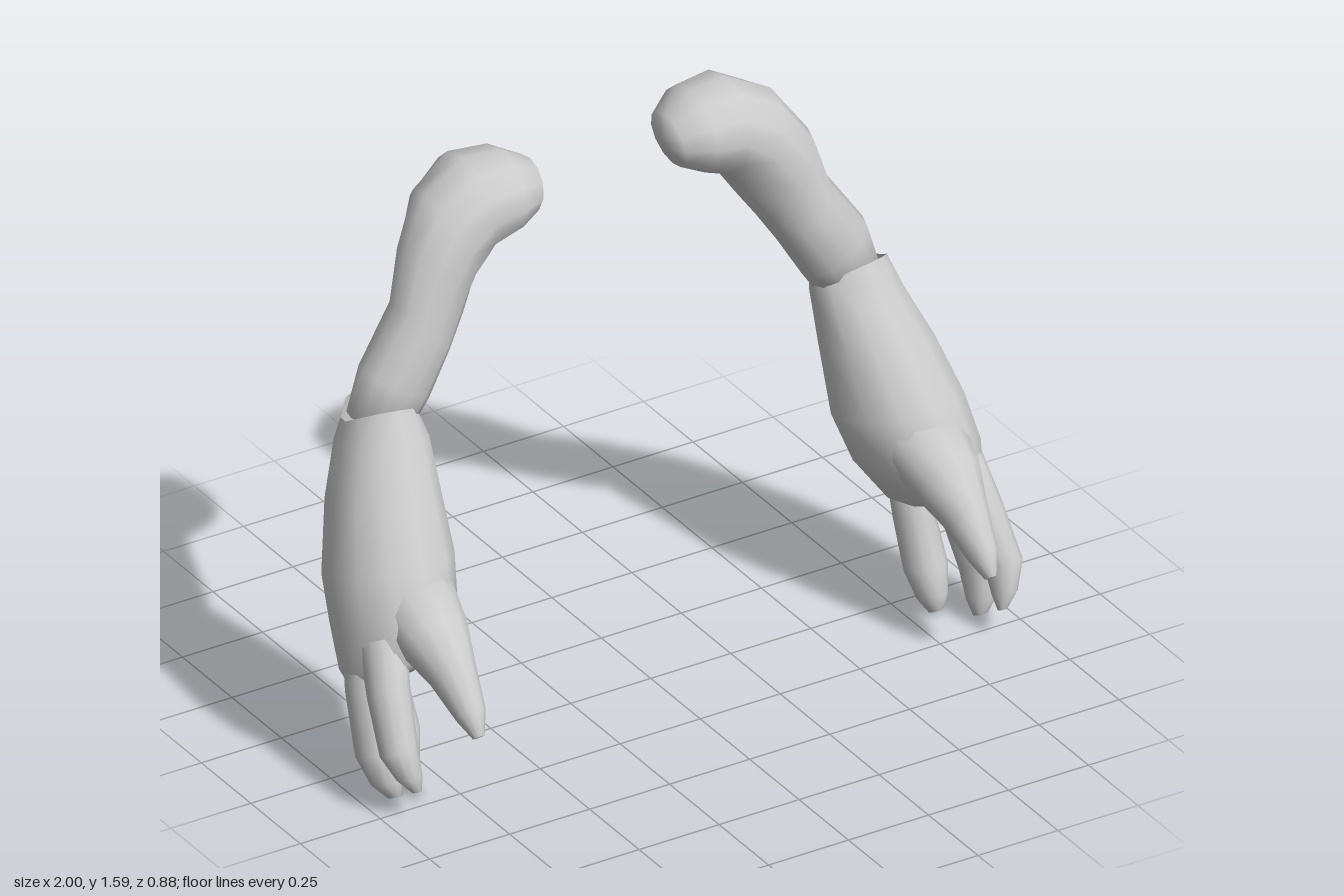
import * as THREE from 'three';

const SIDES = 12;

// A ring is a centre and two half-axes, swept as an ellipse
const ring = (c, u, v) => ({ c: new THREE.Vector3(...c), u: new THREE.Vector3(...u), v: new THREE.Vector3(...v) });

// Smooth skin through a row of rings; side = -1 mirrors it across x
function loft(rings, side, { capStart = true, jag = null } = {}) {
  const pos = [], idx = [];
  rings.forEach(({ c, u, v }, r) => {
    for (let i = 0; i < SIDES; i++) {
      const a = (i / SIDES) * Math.PI * 2;
      const p = c.clone().addScaledVector(u, Math.cos(a)).addScaledVector(v, Math.sin(a));
      if (r === 0 && jag) p.y += jag[i % jag.length];
      pos.push(p.x * side, p.y, p.z);
    }
  });
  const quad = (a, b, c, d) => idx.push(a, b, c, b, d, c);
  for (let r = 0; r < rings.length - 1; r++) {
    for (let i = 0; i < SIDES; i++) {
      const j = (i + 1) % SIDES, k = r * SIDES;
      quad(k + i, k + j, k + SIDES + i, k + SIDES + j);
    }
  }
  const cap = (r, flip) => {
    const n = pos.length / 3, c = rings[r].c;
    pos.push(c.x * side, c.y, c.z);
    for (let i = 0; i < SIDES; i++) {
      const a = r * SIDES + i, b = r * SIDES + (i + 1) % SIDES;
      idx.push(n, flip ? b : a, flip ? a : b);
    }
  };
  if (capStart) cap(0, true);
  cap(rings.length - 1, false);

  // Turn the faces outward if the enclosed volume is negative
  const at = (i) => new THREE.Vector3().fromArray(pos, i * 3).sub(rings[0].c.clone().multiply(new THREE.Vector3(side, 1, 1)));
  let volume = 0;
  for (let i = 0; i < idx.length; i += 3) volume += at(idx[i]).dot(at(idx[i + 1]).cross(at(idx[i + 2])));
  if (volume < 0) idx.reverse();

  const g = new THREE.BufferGeometry();
  g.setAttribute('position', new THREE.Float32BufferAttribute(pos, 3));
  g.setIndex(idx);
  g.computeVertexNormals();
  return g;
}

// Upper arm: outer x, y, inner x, y, front z, back z
const upperArm = [
  [0.198, 1.49, 0.20, 1.44, -0.24, -0.30],
  [0.212, 1.535, 0.235, 1.38, -0.18, -0.36],
  [0.295, 1.58, 0.30, 1.345, -0.14, -0.42],
  [0.41, 1.585, 0.38, 1.31, -0.135, -0.445],
  [0.54, 1.52, 0.425, 1.24, -0.13, -0.41],
  [0.63, 1.39, 0.47, 1.17, -0.12, -0.335],
  [0.67, 1.25, 0.52, 1.09, -0.11, -0.30],
  [0.78, 1.09, 0.59, 0.97, -0.10, -0.282],
  [0.82, 0.96, 0.645, 0.89, -0.11, -0.272],
].map(([ox, oy, ix, iy, f, b]) => ring(
  [(ox + ix) / 2, (oy + iy) / 2, (f + b) / 2],
  [(ox - ix) / 2, (oy - iy) / 2, 0],
  [0, 0, (f - b) / 2]));

// Forearm and palm: front z, y, back z, y, inner x, outer x
const forearm = [
  [-0.09, 0.985, -0.285, 0.965, 0.628, 0.838],
  [-0.03, 0.90, -0.29, 0.89, 0.617, 0.868],
  [0.05, 0.78, -0.265, 0.73, 0.618, 0.925],
  [0.14, 0.645, -0.22, 0.52, 0.62, 0.973],
  [0.20, 0.53, -0.155, 0.40, 0.65, 0.985],
  [0.20, 0.41, -0.09, 0.285, 0.735, 0.98],
  [0.165, 0.36, -0.055, 0.265, 0.79, 0.965],
].map(([fz, fy, bz, by, ix, ox]) => ring(
  [(ix + ox) / 2, (fy + by) / 2, (fz + bz) / 2],
  [(ox - ix) / 2, 0, 0],
  [0, (fy - by) / 2, (fz - bz) / 2]));

// Fingers: x, y, z, half-width, half-depth along each one
const digits = {
  thumb: [
    [0.80, 0.55, 0.06, 0.13, 0.10], [0.80, 0.47, 0.20, 0.10, 0.095],
    [0.80, 0.405, 0.295, 0.066, 0.07], [0.80, 0.325, 0.385, 0.042, 0.045],
    [0.80, 0.275, 0.425, 0.016, 0.018],
  ],
  indexFinger: [
    [0.90, 0.45, 0.10, 0.065, 0.07], [0.925, 0.33, 0.17, 0.06, 0.06],
    [0.945, 0.19, 0.255, 0.052, 0.055], [0.93, 0.12, 0.285, 0.035, 0.036],
    [0.915, 0.08, 0.298, 0.014, 0.012],
  ],
  middleFinger: [
    [0.90, 0.42, 0.02, 0.065, 0.07], [0.925, 0.29, 0.065, 0.06, 0.066],
    [0.943, 0.13, 0.14, 0.056, 0.066], [0.93, 0.05, 0.17, 0.042, 0.046],
    [0.915, 0.01, 0.187, 0.02, 0.02],
  ],
  littleFinger: [
    [0.83, 0.40, -0.04, 0.065, 0.07], [0.825, 0.25, -0.005, 0.055, 0.062],
    [0.825, 0.12, 0.055, 0.06, 0.062], [0.825, 0.045, 0.09, 0.042, 0.045],
    [0.825, 0.008, 0.108, 0.02, 0.02],
  ],
};

function digitRings(path) {
  return path.map(([x, y, z, w, d], i) => {
    const a = path[Math.max(i - 1, 0)], b = path[Math.min(i + 1, path.length - 1)];
    const dy = b[1] - a[1], dz = b[2] - a[2], l = Math.hypot(dy, dz);
    return ring([x, y, z], [w, 0, 0], [0, (dz / l) * d, (-dy / l) * d]);
  });
}

function buildArm(side) {
  const arm = new THREE.Group();
  arm.name = side > 0 ? 'leftArm' : 'rightArm';
  const skin = new THREE.MeshStandardMaterial({ color: 0xcccccc });
  const cuff = new THREE.MeshStandardMaterial({ color: 0xcccccc, side: THREE.DoubleSide });
  const add = (name, geometry, material = skin) => {
    const mesh = new THREE.Mesh(geometry, material);
    mesh.name = name;
    arm.add(mesh);
  };
  add('upperArm', loft(upperArm, side));
  // Open ragged edge at the elbow
  add('forearm', loft(forearm, side, { capStart: false, jag: [-0.02, 0.005, 0.02, 0.02, 0.005, -0.03] }), cuff);
  for (const [name, path] of Object.entries(digits)) add(name, loft(digitRings(path), side));
  return arm;
}

export function createModel() {
  const model = new THREE.Group();
  model.name = 'armPair';
  for (const side of [1, -1]) model.add(buildArm(side));
  return model;
}
